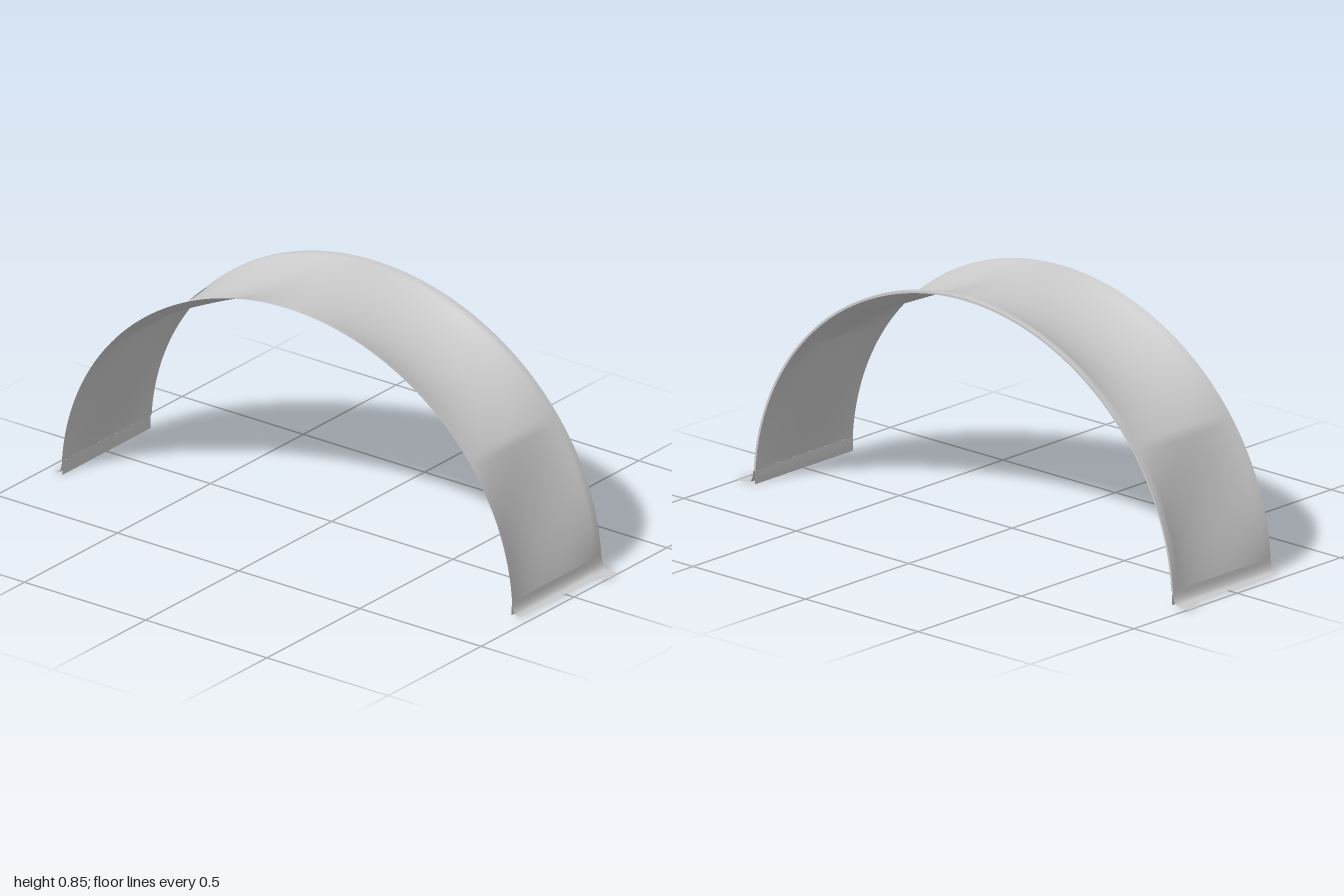
import * as THREE from 'three';

const HALF_SPAN = 0.93, HEIGHT = 0.85;
const SEAM = Math.asin(0.754 / HALF_SPAN); // angle of the straight cross seams
const END = Math.acos(0.05 / HEIGHT); // angle where the foot begins
const material = new THREE.MeshStandardMaterial({ color: 0xcccccc, side: THREE.DoubleSide });

// Depth of the cloth's sag between its two edges; none at the seams and feet
function sagAt(x, angle) {
  const a = Math.abs(angle);
  const across = Math.max(0, 1 - ((x + 0.01) / 0.225) ** 2);
  if (a < SEAM) {
    const u = a / SEAM;
    return across * (0.015 * (1 - u) + 0.05 * Math.max(0, Math.sin(Math.PI * u)) ** 1.4);
  }
  return across * 0.034 * Math.max(0, Math.sin(Math.PI * (a - SEAM) / (END - SEAM)));
}

// Point on the sagging arch, pushed out along the arch normal
function archPoint(x, angle, offset) {
  const n = new THREE.Vector2(Math.sin(angle) / HALF_SPAN, Math.cos(angle) / HEIGHT).normalize();
  const d = offset - sagAt(x, angle);
  return new THREE.Vector3(x, HEIGHT * Math.cos(angle) + n.y * d, HALF_SPAN * Math.sin(angle) + n.x * d);
}

// Bend a flat grid into a surface by a rule of (u, v)
function sheet(name, cols, rows, rule) {
  const geometry = new THREE.PlaneGeometry(1, 1, cols, rows);
  const pos = geometry.attributes.position;
  for (let i = 0; i < pos.count; i++) {
    const p = rule(pos.getX(i) + 0.5, 0.5 - pos.getY(i));
    pos.setXYZ(i, p.x, p.y, p.z);
  }
  geometry.computeVertexNormals();
  const mesh = new THREE.Mesh(geometry, material);
  mesh.name = name;
  return mesh;
}

const archSheet = (name, x0, x1, cols, offset) => sheet(name, cols, 160, (u, v) =>
  archPoint(x0 + (x1 - x0) * u, (2 * v - 1) * END, offset));

// Foot strip following a (z, y) curve, at the front (side = 1) or back (-1)
function foot(name, x0, x1, side, points) {
  const curve = new THREE.SplineCurve(points.map(([z, y]) => new THREE.Vector2(z, y)));
  return sheet(name, 4, 12, (u, v) => {
    const p = curve.getPoint(v);
    const t = side > 0 ? u : 1 - u;
    return new THREE.Vector3(x0 + (x1 - x0) * t, p.y, side * p.x);
  });
}

export function createModel() {
  const model = new THREE.Group();
  model.name = 'archCover';

  // Cloth and the hem doubled along its left edge
  model.add(archSheet('cloth', -0.24, 0.235, 32, 0));
  model.add(archSheet('outerHem', 0.18, 0.236, 6, 0.003));
  model.add(archSheet('innerHem', 0.18, 0.236, 6, -0.005));
  model.add(sheet('hemEdge', 1, 160, (u, v) => archPoint(0.236, (2 * v - 1) * END, 0.003 - 0.008 * u)));

  // Flared feet, inner lips and the longer tabs under the hem
  const flare = [[0.928, 0.05], [0.932, 0.025], [0.942, 0.008], [0.962, 0.003]];
  const lip = [[0.928, 0.05], [0.927, 0.025], [0.927, 0.002]];
  const tab = [[0.931, 0.05], [0.935, 0.026], [0.945, 0.009], [0.965, 0.003], [1, 0.002]];
  for (const side of [1, -1]) {
    const end = side > 0 ? 'front' : 'back';
    model.add(foot(end + 'Flare', -0.24, 0.235, side, flare));
    model.add(foot(end + 'Lip', -0.24, 0.235, side, lip));
    model.add(foot(end + 'Tab', 0.18, 0.238, side, tab));
  }
  return model;
}
